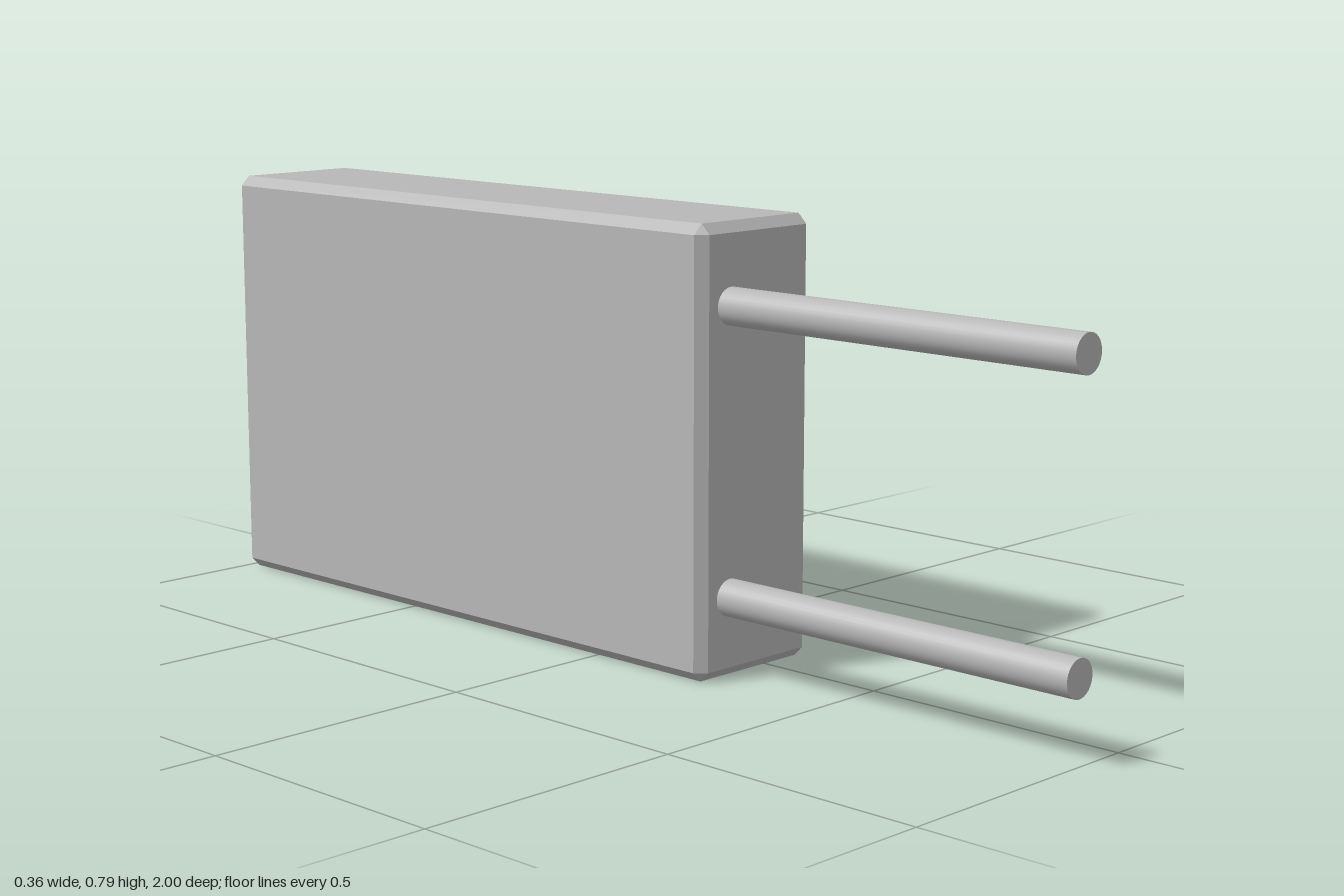
import * as THREE from 'three';
import { ConvexGeometry } from 'three/addons/geometries/ConvexGeometry.js';

export function createModel() {
  const group = new THREE.Group();
  const grey = new THREE.MeshStandardMaterial({ color: 0xb8b8b8 });
  grey.name = 'plain grey';

  const add = (name, geometry, parent = group) => {
    const mesh = new THREE.Mesh(geometry, grey);
    mesh.name = name;
    parent.add(mesh);
    return mesh;
  };

  // box given by its limits on each axis
  const box = (name, x0, x1, y0, y1, z0, z1) =>
    add(name, new THREE.BoxGeometry(x1 - x0, y1 - y0, z1 - z0))
      .position.set((x0 + x1) / 2, (y0 + y1) / 2, (z0 + z1) / 2);

  // round bar centred at a point, along x or z
  const rod = (name, axis, radius, length, x, y, z, parent) => {
    const geometry = new THREE.CylinderGeometry(radius, radius, length, 32);
    if (axis === 'x') geometry.rotateZ(Math.PI / 2);
    else geometry.rotateX(Math.PI / 2);
    add(name, geometry, parent).position.set(x, y, z);
  };

  // cabinet with every edge chamfered
  const half = [0.139, 0.394, 0.634];
  const chamfer = 0.018;
  const corners = [];
  for (const sx of [-1, 1]) for (const sy of [-1, 1]) for (const sz of [-1, 1]) {
    const signs = [sx, sy, sz];
    for (let face = 0; face < 3; face++) {
      corners.push(new THREE.Vector3(
        ...half.map((h, i) => signs[i] * (i === face ? h : h - chamfer))));
    }
  }
  add('cabinet', new ConvexGeometry(corners)).position.set(-0.042, 0.394, -0.366);

  // two long front poles
  for (const y of [0.142, 0.646]) rod('frontPole', 'z', 0.033, 0.75, -0.109, y, 0.625);

  // side door panel
  box('doorPanel', 0.09, 0.111, 0.081, 0.709, -0.856, -0.07);

  // two door handles, each a grip on two posts
  for (const y of [0.175, 0.615]) {
    const handle = new THREE.Group();
    handle.name = 'doorHandle';
    group.add(handle);
    rod('grip', 'z', 0.0125, 0.246, 0.167, y, -0.465, handle);
    for (const z of [-0.576, -0.355]) rod('post', 'x', 0.0125, 0.062, 0.136, y, z, handle);
  }

  // column of three square buttons
  for (const y of [0.16, 0.213, 0.267]) {
    box('button', 0.11, 0.119, y - 0.0175, y + 0.0175, 0.078, 0.112);
  }

  return group;
}
